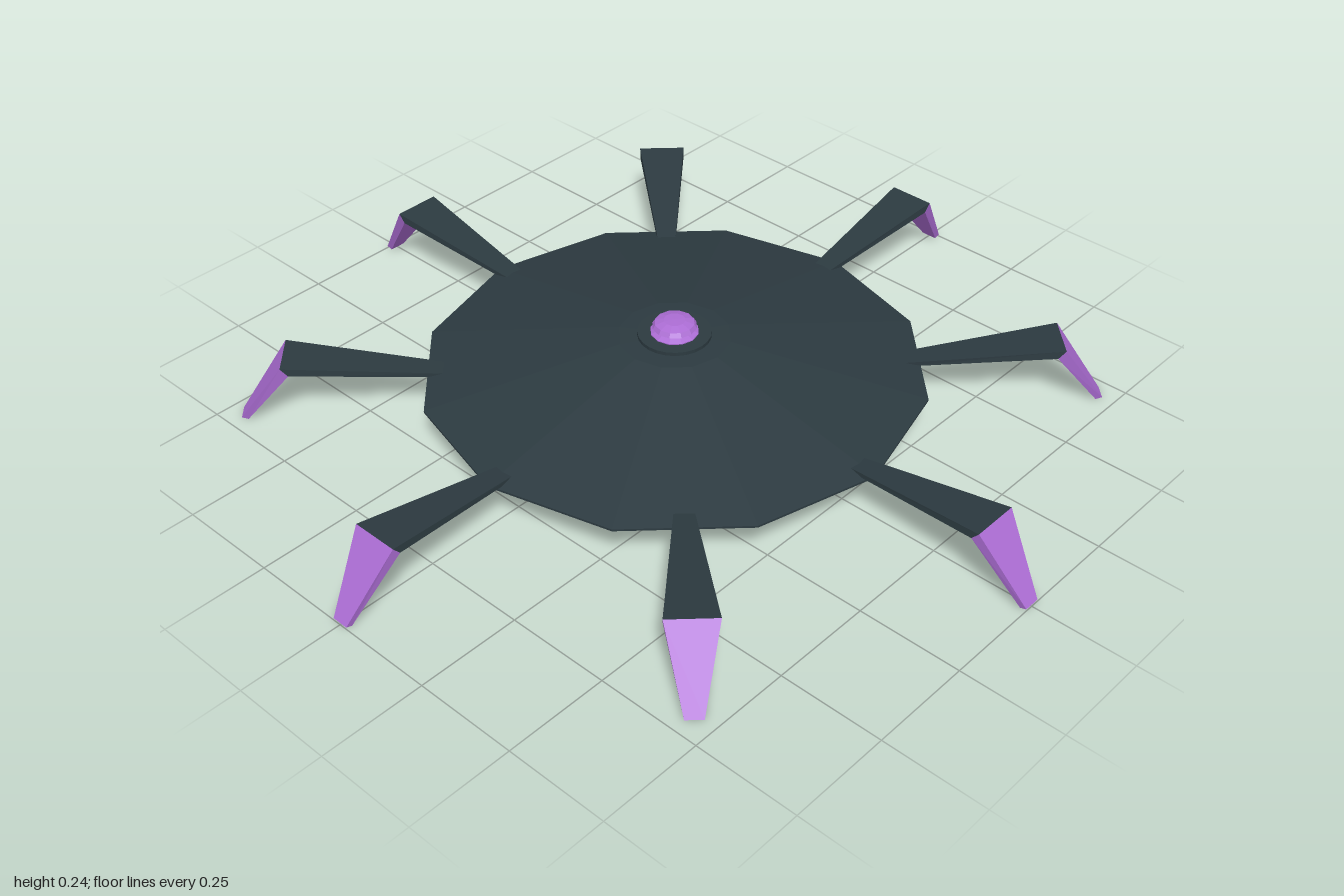
import * as THREE from 'three';

const dark = new THREE.MeshStandardMaterial({ color: 0x2c3a40, flatShading: true });
dark.name = 'dark slate';
const purple = new THREE.MeshStandardMaterial({ color: 0xac6dd4, flatShading: true });
purple.name = 'violet';

function add(parent, name, geometry, material) {
  const mesh = new THREE.Mesh(geometry, material);
  mesh.name = name;
  parent.add(mesh);
  return mesh;
}

// Tapered bar between two end sections; each has an upper and lower [radius, height] and a half width
function taperedBar(start, end) {
  const geometry = new THREE.BoxGeometry(1, 1, 1);
  const p = geometry.attributes.position;
  for (let i = 0; i < p.count; i++) {
    const section = p.getX(i) < 0 ? start : end;
    const [r, y] = p.getY(i) > 0 ? section.upper : section.lower;
    p.setXYZ(i, r, y, Math.sign(p.getZ(i)) * section.half);
  }
  geometry.computeVertexNormals();
  return geometry;
}

function lathe(points, sides) {
  return new THREE.LatheGeometry(points.map(([r, y]) => new THREE.Vector2(r, y)), sides);
}

export function createModel() {
  const model = new THREE.Group();
  model.name = 'eightLeggedDisc';

  // Twelve-sided shallow body with a flat underside
  add(model, 'body', lathe([[0, 0.108], [0.585, 0.108], [0.585, 0.113], [0.13, 0.199], [0, 0.203]], 12), dark);

  // Round collar and the gem on top
  add(model, 'collar', lathe([[0.085, 0.198], [0.085, 0.209], [0, 0.209]], 24), dark);
  add(model, 'gem', lathe([[0.056, 0.208], [0.056, 0.211], [0.042, 0.217],
    [0.052, 0.224], [0.046, 0.234], [0.025, 0.24], [0, 0.241]], 12), purple);

  // Legs: a thigh rising to the knee and a shin falling to the ground
  const hip = { upper: [0.52, 0.119], lower: [0.52, 0.109], half: 0.022 };
  const knee = { upper: [0.89, 0.167], lower: [0.873, 0.147], half: 0.057 };
  const foot = { upper: [1.0, 0.005], lower: [0.985, 0], half: 0.02 };
  const thighGeometry = taperedBar(hip, knee);
  const shinGeometry = taperedBar(knee, foot);
  for (let i = 0; i < 8; i++) {
    const leg = new THREE.Group();
    leg.name = `leg${i + 1}`;
    add(leg, 'thigh', thighGeometry, dark);
    add(leg, 'shin', shinGeometry, purple);
    leg.rotation.y = (i * Math.PI) / 4;
    model.add(leg);
  }
  return model;
}
